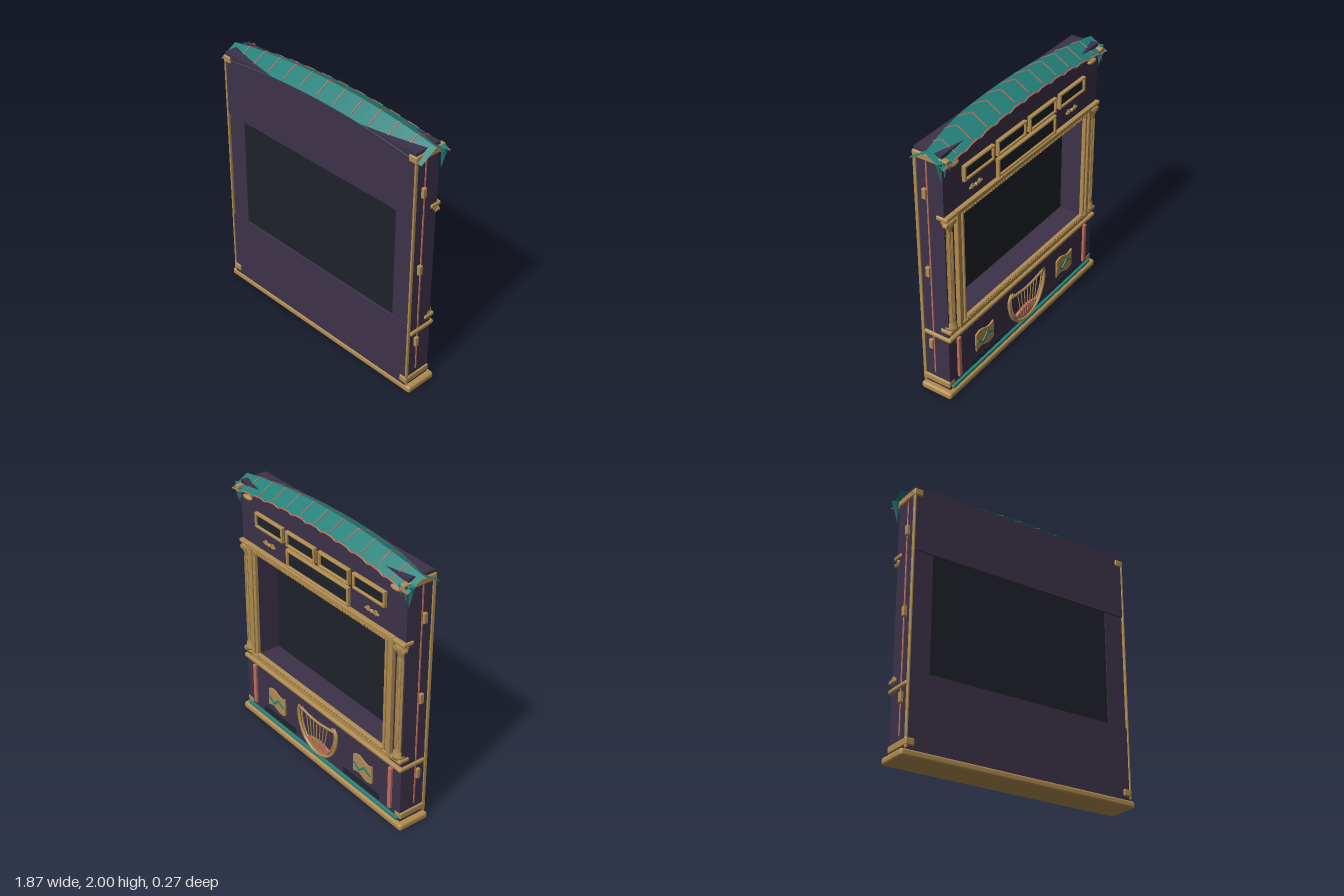
import * as THREE from 'three';
import { RoundedBoxGeometry } from 'three/addons/geometries/RoundedBoxGeometry.js';

export function createModel() {
  const model = new THREE.Group();
  model.name = 'theatreCabinet';
  const mat = (name, color, double) => {
    const m = new THREE.MeshStandardMaterial({ color });
    m.name = name;
    if (double) m.side = THREE.DoubleSide;
    return m;
  };
  const purple = mat('purple', 0x3d3249);
  const gold = mat('gold', 0xb08c50);
  const teal = mat('teal', 0x24807a, true);
  const coral = mat('coral', 0xbf6d5c);
  const dark = mat('dark', 0x1f222a);

  const add = (name, geo, material, x = 0, y = 0, z = 0, parent = model) => {
    const m = new THREE.Mesh(geo, material);
    m.name = name;
    m.position.set(x, y, z);
    parent.add(m);
    return m;
  };
  // Box given by its extents on each axis
  const box = (name, material, x0, x1, y0, y1, z0, z1) =>
    add(name, new THREE.BoxGeometry(x1 - x0, y1 - y0, z1 - z0), material, (x0 + x1) / 2, (y0 + y1) / 2, (z0 + z1) / 2);
  const rbox = (name, material, x0, x1, y0, y1, z0, z1, r = 0.01) =>
    add(name, new RoundedBoxGeometry(x1 - x0, y1 - y0, z1 - z0, 2, r), material, (x0 + x1) / 2, (y0 + y1) / 2, (z0 + z1) / 2);
  const tube = (name, material, points, r, segs = 24, parent = model) =>
    add(name, new THREE.TubeGeometry(new THREE.CatmullRomCurve3(points.map(p => new THREE.Vector3(...p))), segs, r, 6), material, 0, 0, 0, parent);
  // Rectangular picture-frame moulding
  const frame = (name, w, h, t, d, x, y, z) => {
    const s = new THREE.Shape([[-w, -h], [w, -h], [w, h], [-w, h]].map(p => new THREE.Vector2(p[0] / 2, p[1] / 2)));
    const a = w / 2 - t, b = h / 2 - t;
    s.holes.push(new THREE.Path([[-a, -b], [-a, b], [a, b], [a, -b]].map(p => new THREE.Vector2(...p))));
    const g = new THREE.ExtrudeGeometry(s, { depth: d - 0.008, bevelThickness: 0.004, bevelSize: 0.004, bevelOffset: -0.004, bevelSegments: 1 });
    return add(name, g.translate(0, 0, -d / 2 + 0.004), gold, x, y, z);
  };

  // Carcass with a deep opening closed by a screen near the front
  rbox('base', gold, -0.915, 0.915, 0.003, 0.056, -0.115, 0.13, 0.018);
  box('lowerBody', purple, -0.875, 0.875, 0.05, 0.577, -0.087, 0.123);
  box('upperBody', purple, -0.875, 0.875, 1.43, 1.91, -0.087, 0.123);
  for (const s of [-1, 1]) {
    const a = s * 0.72, b = s * 0.873;
    box('sidePost', purple, Math.min(a, b), Math.max(a, b), 0.577, 1.43, -0.086, 0.112);
  }
  box('screen', dark, -0.72, 0.72, 0.577, 1.43, 0.085, 0.104);

  // Side trims, mirrored
  for (const s of [-1, 1]) {
    const span = (n, m, x0, x1, ...r) => rbox(n, m, Math.min(s * x0, s * x1), Math.max(s * x0, s * x1), ...r);
    span('frontEdgeTrim', gold, 0.87, 0.884, 0.06, 1.88, 0.107, 0.13, 0.004);
    span('lowerCornerBlock', gold, 0.82, 0.887, 0.077, 0.127, -0.09, 0.133);
    span('upperCornerBlock', gold, 0.82, 0.887, 1.838, 1.888, -0.09, 0.133);
    span('sideStripe', coral, 0.87, 0.88, 0.16, 1.83, 0.027, 0.038, 0.002);
    for (const y of [0.41, 1.005, 1.6]) span('hinge', gold, 0.87, 0.897, y - 0.037, y + 0.037, 0.033, 0.063, 0.004);
  }

  // Ledge and skirting of the show side
  rbox('ledge', gold, -0.89, 0.89, 0.478, 0.51, -0.112, 0.106, 0.012);
  rbox('skirting', teal, -0.86, 0.86, 0.064, 0.09, -0.106, -0.08, 0.006);

  // Stage frame in two steps with a row of beads
  frame('outerFrame', 1.56, 0.93, 0.035, 0.034, 0, 1.003, -0.1);
  frame('middleFrame', 1.49, 0.9, 0.022, 0.022, 0, 1.003, -0.094);
  frame('innerFrame', 1.45, 0.865, 0.02, 0.03, 0, 1.003, -0.1);
  const beadGeo = new THREE.BoxGeometry(0.014, 0.014, 0.014);
  const beads = new THREE.Group();
  beads.name = 'frameBeads';
  model.add(beads);
  for (let i = -25; i <= 25; i++) {
    add('bead', beadGeo, gold, i * 0.028, 1.429, -0.114, beads);
    add('bead', beadGeo, gold, i * 0.028, 0.577, -0.114, beads);
  }

  // Fluted columns at both sides of the stage
  const profile = [[0, 0.57], [0.044, 0.57], [0.046, 0.59], [0.036, 0.605], [0.038, 0.62], [0.027, 0.64], [0.03, 0.95],
    [0.024, 1.33], [0.03, 1.345], [0.026, 1.355], [0.04, 1.39], [0.046, 1.42], [0.044, 1.44], [0, 1.44]];
  for (const s of [-1, 1]) {
    const x = s * 0.832;
    add('column', new THREE.LatheGeometry(profile.map(p => new THREE.Vector2(...p)), 16), gold, x, 0, -0.078);
    for (let i = 0; i < 5; i++) {
      const a = Math.PI * (i + 0.5) / 5;
      add('columnRib', new THREE.CylinderGeometry(0.004, 0.004, 0.68, 5), gold, x + Math.cos(a) * 0.028, 0.99, -0.078 - Math.sin(a) * 0.028);
    }
    rbox('columnPlinth', gold, x - 0.055, x + 0.055, 0.545, 0.575, -0.115, -0.03);
    rbox('columnCap', gold, x - 0.055, x + 0.055, 1.437, 1.467, -0.117, -0.03);
    for (const k of [-1, 1]) {
      const scroll = add('capitalScroll', new THREE.CylinderGeometry(0.017, 0.017, 0.03, 12), gold, x + k * 0.036, 1.405, -0.095);
      scroll.rotation.x = Math.PI / 2;
    }
  }

  // Framed panels above the stage
  const panel = (x, y, w, h) => {
    frame('panelFrame', w, h, 0.018, 0.03, x, y, -0.1);
    box('panelGlass', dark, x - w / 2 + 0.01, x + w / 2 - 0.01, y - h / 2 + 0.01, y + h / 2 - 0.01, -0.1, -0.08);
  };
  for (const x of [-0.53, -0.177, 0.177, 0.53]) panel(x, 1.688, 0.315, 0.112);
  panel(0, 1.542, 0.665, 0.138);

  for (const s of [-1, 1]) {
    // Small scroll ornament
    const orn = new THREE.Group();
    orn.name = 'scrollOrnament';
    orn.position.set(s * 0.55, 1.54, -0.092);
    model.add(orn);
    add('bar', new THREE.BoxGeometry(0.12, 0.01, 0.012), gold, 0, 0, 0, orn);
    for (const k of [-1, 1]) {
      add('ring', new THREE.TorusGeometry(0.015, 0.005, 6, 14), gold, k * 0.038, 0.004, 0, orn);
      add('knob', new THREE.SphereGeometry(0.009, 8, 6), gold, k * 0.06, 0, 0, orn);
    }
    add('boss', new THREE.SphereGeometry(0.014, 10, 8), gold, 0, 0, 0, orn);

    // Coral pilaster
    rbox('pilaster', coral, s * 0.775 - 0.016, s * 0.775 + 0.016, 0.12, 0.455, -0.105, -0.08, 0.005);

    // Curling sheet with a zigzag inlay
    const sheetGeo = new THREE.BoxGeometry(0.2, 0.14, 0.012, 12, 1, 1);
    const p = sheetGeo.attributes.position;
    for (let i = 0; i < p.count; i++) p.setY(i, p.getY(i) + 0.014 * Math.sin(p.getX(i) * 32));
    sheetGeo.computeVertexNormals();
    add('sheet', sheetGeo, gold, s * 0.495, 0.275, -0.097);
    const zig = [[-0.085, 0.01], [-0.03, -0.03], [0.02, 0.02], [0.085, -0.01]];
    for (let i = 0; i < 3; i++) {
      const [x0, y0] = zig[i], [x1, y1] = zig[i + 1];
      const bar = add('sheetZigzag', new THREE.BoxGeometry(Math.hypot(x1 - x0, y1 - y0) + 0.008, 0.014, 0.008), teal,
        s * 0.495 - (x0 + x1) / 2, 0.275 + (y0 + y1) / 2, -0.105);
      bar.rotation.z = -Math.atan2(y1 - y0, x1 - x0);
    }

    // Louvred vent
    for (let i = 0; i < 3; i++) box('ventSlat', dark, s * 0.47 - 0.19, s * 0.47 + 0.19, 0.108 + i * 0.016, 0.118 + i * 0.016, -0.096, -0.08);
  }

  // Lyre relief
  const lyre = new THREE.Group();
  lyre.name = 'lyre';
  model.add(lyre);
  const arms = [[-0.185, 0.43], [-0.215, 0.39], [-0.2, 0.27], [-0.13, 0.16], [0, 0.115], [0.13, 0.16], [0.2, 0.27], [0.215, 0.39], [0.185, 0.43]];
  tube('lyreArms', gold, arms.map(p => [p[0], p[1], -0.108]), 0.013, 40, lyre);
  tube('lyreInnerArms', gold, arms.map(p => [p[0] * 0.87, p[1] * 0.9 + 0.035, -0.102]), 0.007, 40, lyre);
  tube('lyreCrossbar', gold, [[-0.21, 0.405, -0.108], [0, 0.385, -0.112], [0.21, 0.405, -0.108]], 0.01, 12, lyre);
  for (let i = -3; i <= 3; i++) tube('lyreString', gold, [[i * 0.04, 0.39, -0.112], [i * 0.026, 0.17, -0.116]], 0.004, 2, lyre);
  const bowl = new THREE.Shape();
  bowl.moveTo(-0.13, 0.185);
  bowl.quadraticCurveTo(0, 0.245, 0.13, 0.185);
  bowl.quadraticCurveTo(0, 0.06, -0.13, 0.185);
  add('lyreBowl', new THREE.ExtrudeGeometry(bowl, { depth: 0.025, bevelEnabled: false }), coral, 0, 0, -0.108, lyre);

  // Arched gable roof, open at the ends, with seams
  const roofY = (x, z) => 2 - 0.095 * x * x - 0.58 * Math.abs(z + 0.004);
  const roofGeo = new THREE.PlaneGeometry(1.84, 0.258, 24, 2).rotateX(-Math.PI / 2).translate(0, 0, -0.004).toNonIndexed();
  const rp = roofGeo.attributes.position;
  for (let i = 0; i < rp.count; i++) rp.setY(i, roofY(rp.getX(i), rp.getZ(i)) - 0.001);
  roofGeo.computeVertexNormals();
  add('roof', roofGeo, teal);
  for (let i = -5; i <= 5; i++) {
    const x = i * 0.1535;
    for (const s of [-1, 1]) {
      const z = -0.004 + s * 0.055;
      const seam = add('roofSeam', new THREE.BoxGeometry(0.007, 0.006, 0.124), coral, x, roofY(x, z), z);
      seam.rotation.x = s * Math.atan(0.58);
    }
  }
  const eave = [];
  for (let i = 0; i <= 48; i++) {
    const x = -0.92 + i * 1.84 / 48;
    eave.push([x, roofY(x, -0.13) - 0.004 - (i % 4 === 2 ? 0.012 : 0), -0.13]);
  }
  tube('eaveTrim', coral, eave, 0.006, 96);

  // Hanging pennants and leaf ornaments under the roof corners
  for (const s of [-1, 1]) {
    for (const [x, y, z, r, h, t] of [[0.897, 1.8, -0.09, 0.03, 0.16, 0.12], [0.88, 1.82, -0.112, 0.025, 0.11, -0.1], [0.84, 1.83, -0.116, 0.025, 0.08, 0]]) {
      const pennant = add('pennant', new THREE.ConeGeometry(r, h, 4), teal, s * x, y, z);
      pennant.rotation.set(Math.PI, 0, s * t);
      pennant.scale.z = 0.8;
    }
    const leaf = add('cornerLeaf', new THREE.SphereGeometry(0.05, 12, 8), gold, s * 0.78, 1.815, -0.1);
    leaf.scale.set(1, 0.35, 0.4);
    rbox('cornerBracket', gold, s * 0.865 - 0.02, s * 0.865 + 0.02, 1.83, 1.885, -0.13, -0.08, 0.008);
  }
  return model;
}
